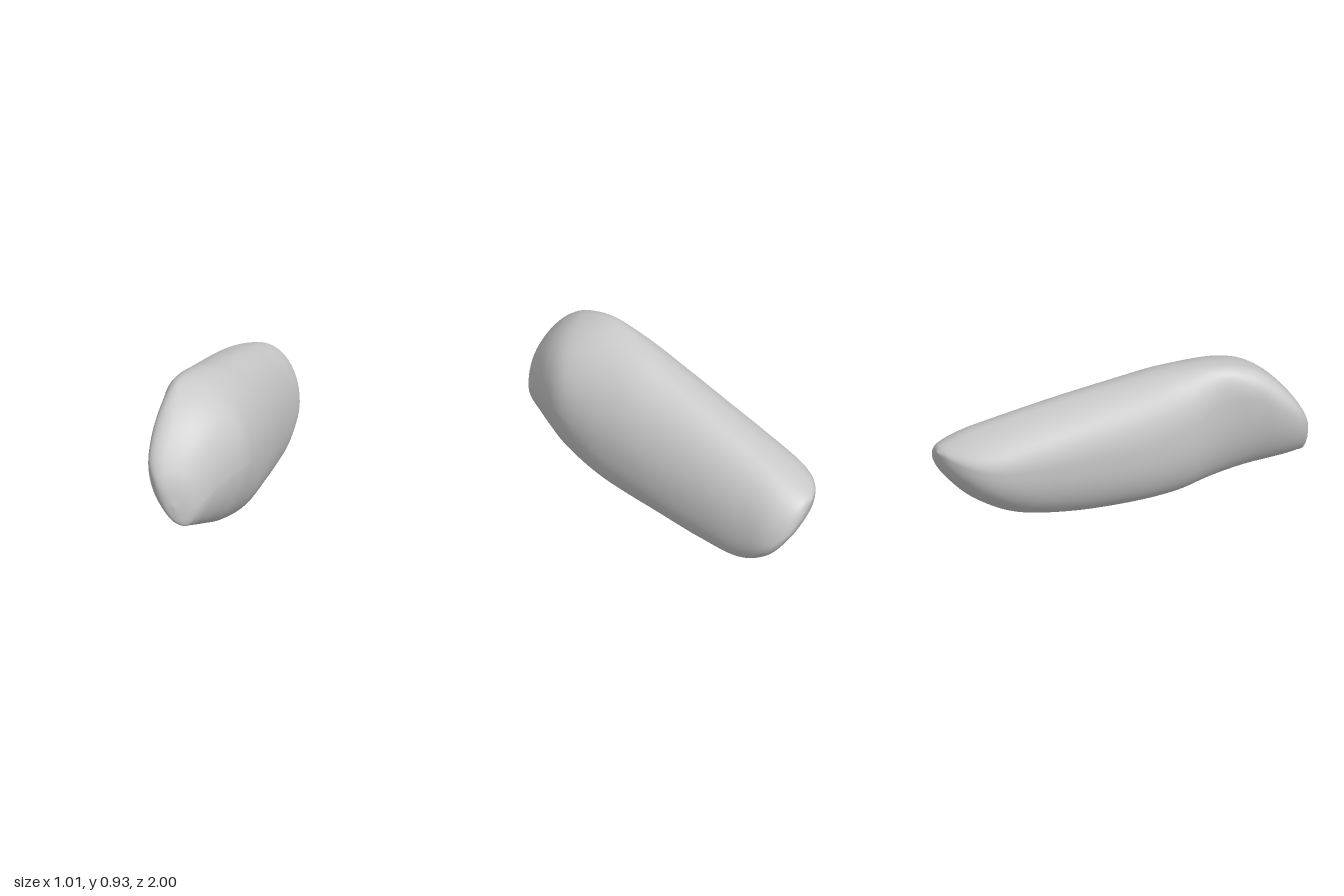
import * as THREE from 'three';
import { mergeVertices } from 'three/addons/utils/BufferGeometryUtils.js';

// Cross-sections from front to back: z, then the (x, y) of the extreme
// left, top, right and bottom point of each section.
const SECTIONS = [
  [1.0, -0.37, 0.36, -0.37, 0.36, -0.37, 0.36, -0.37, 0.36],
  [0.985, -0.435, 0.43, -0.38, 0.48, -0.27, 0.34, -0.32, 0.25],
  [0.95, -0.48, 0.5, -0.37, 0.58, -0.2, 0.37, -0.28, 0.23],
  [0.88, -0.505, 0.57, -0.34, 0.7, -0.115, 0.43, -0.235, 0.205],
  [0.78, -0.485, 0.64, -0.32, 0.815, -0.01, 0.47, -0.175, 0.17],
  [0.66, -0.44, 0.72, -0.31, 0.89, 0.08, 0.48, -0.11, 0.13],
  [0.48, -0.385, 0.73, -0.275, 0.93, 0.15, 0.44, -0.045, 0.085],
  [0.25, -0.37, 0.61, -0.16, 0.9, 0.22, 0.4, 0.02, 0.045],
  [0.0, -0.31, 0.53, -0.05, 0.835, 0.29, 0.35, 0.1, 0.02],
  [-0.3, -0.205, 0.49, 0.07, 0.755, 0.37, 0.3, 0.22, 0.0],
  [-0.58, -0.1, 0.46, 0.17, 0.675, 0.45, 0.24, 0.345, 0.025],
  [-0.78, -0.015, 0.45, 0.24, 0.61, 0.5, 0.245, 0.405, 0.135],
  [-0.9, 0.08, 0.47, 0.27, 0.565, 0.48, 0.32, 0.38, 0.265],
  [-0.97, 0.19, 0.49, 0.29, 0.53, 0.41, 0.42, 0.33, 0.385],
  [-1.0, 0.3, 0.5, 0.3, 0.5, 0.3, 0.5, 0.3, 0.5],
];
const RINGS = 112;
const SIDES = 72;

// Quadrant exponents (top right, top left, bottom left, bottom right):
// 1 is elliptical, less gives a fuller corner, more a flatter one
const FRONT_CORNERS = [0.88, 0.8, 1.1, 1.25];
const BODY_CORNERS = [1.04, 0.9, 0.88, 0.87];

// Smooth rail along the body through one extreme point of every section
function rail(column) {
  const points = SECTIONS.map((s) => new THREE.Vector3(s[column], s[column + 1], s[0]));
  return new THREE.CatmullRomCurve3(points, false, 'catmullrom', 0.5);
}

// Loft of rounded sections, each made of four quadrants joining the rails
function stoneGeometry() {
  const [left, top, right, bottom] = [1, 3, 5, 7].map(rail);
  const positions = [];
  const indices = [];
  for (let i = 0; i <= RINGS; i++) {
    const t = i / RINGS;
    const L = left.getPoint(t), T = top.getPoint(t);
    const R = right.getPoint(t), B = bottom.getPoint(t);
    const frontness = THREE.MathUtils.smoothstep(L.z, 0.3, 0.85);
    for (let j = 0; j < SIDES; j++) {
      const angle = (j / SIDES) * Math.PI * 2;
      const c = Math.cos(angle), s = Math.sin(angle);
      const quadrant = Math.floor((4 * j) / SIDES);
      const power = THREE.MathUtils.lerp(BODY_CORNERS[quadrant], FRONT_CORNERS[quadrant], frontness);
      const side = c >= 0 ? R : L;
      const cap = s >= 0 ? T : B;
      const u = Math.pow(Math.abs(c), power);
      const v = Math.pow(Math.abs(s), power);
      positions.push(
        cap.x + (side.x - cap.x) * u,
        side.y + (cap.y - side.y) * v,
        L.z
      );
      if (i < RINGS) {
        const k = (j + 1) % SIDES;
        const a = i * SIDES + j, b = a + SIDES;
        const d = i * SIDES + k, e = d + SIDES;
        indices.push(a, b, d, d, b, e);
      }
    }
  }
  const geometry = new THREE.BufferGeometry();
  geometry.setAttribute('position', new THREE.Float32BufferAttribute(positions, 3));
  geometry.setIndex(indices);
  const welded = mergeVertices(geometry, 1e-5);
  welded.computeVertexNormals();
  return welded;
}

export function createModel() {
  const group = new THREE.Group();
  group.name = 'stone';
  const body = new THREE.Mesh(
    stoneGeometry(),
    new THREE.MeshStandardMaterial({ color: 0xcccccc })
  );
  body.name = 'stoneBody';
  group.add(body);
  return group;
}
